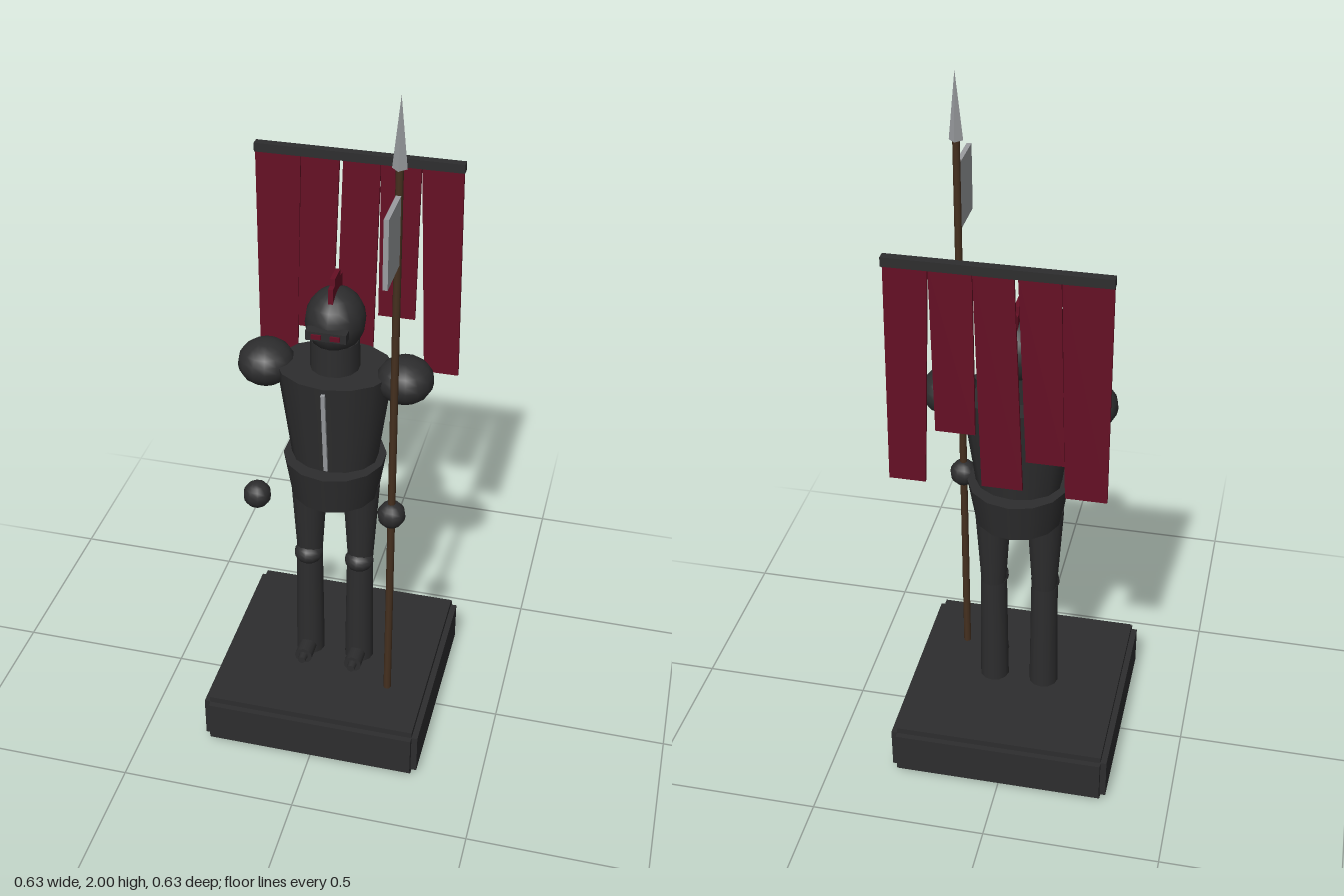
import * as THREE from 'three';

export function createModel() {
  const model = new THREE.Group();
  model.name = 'standingKnight';

  const material = (name, color) => {
    const m = new THREE.MeshStandardMaterial({ color });
    m.name = name;
    return m;
  };
  const iron = material('darkIron', 0x2d2d2e);
  const crimson = material('crimson', 0x650f24);
  const wood = material('darkWood', 0x45301f);
  const steel = material('steel', 0x9a9da0);

  const add = (name, geometry, mat, x = 0, y = 0, z = 0) => {
    const mesh = new THREE.Mesh(geometry, mat);
    mesh.name = name;
    mesh.position.set(x, y, z);
    model.add(mesh);
    return mesh;
  };
  const box = (name, mat, size, pos) => add(name, new THREE.BoxGeometry(...size), mat, ...pos);
  // Tapered upright tube between two heights
  const tube = (name, mat, rTop, rBottom, y0, y1, sides, x = 0, z = 0) =>
    add(name, new THREE.CylinderGeometry(rTop, rBottom, y1 - y0, sides), mat, x, (y0 + y1) / 2, z);
  const ball = (name, [rx, ry, rz], pos, sides = 14) => {
    const mesh = add(name, new THREE.SphereGeometry(1, sides, 10), iron, ...pos);
    mesh.scale.set(rx, ry, rz);
    return mesh;
  };

  // Plinth with stepped edges
  box('plinthCore', iron, [0.6, 0.16, 0.6], [0, 0.08, 0]);
  box('plinthSides', iron, [0.634, 0.124, 0.6], [0, 0.08, 0]);
  box('plinthFrontAndBack', iron, [0.6, 0.124, 0.634], [0, 0.08, 0]);

  // Torso, waist and neck
  tube('breastplate', iron, 0.16, 0.12, 0.87, 1.165, 14).scale.z = 0.82;
  tube('waistGuard', iron, 0.143, 0.123, 0.76, 0.88, 14);
  tube('neckGuard', iron, 0.066, 0.068, 1.15, 1.25, 14);
  const ridge = box('chestRidge', steel, [0.011, 0.262, 0.012], [0, 1.02, 0.117]);
  ridge.rotation.x = Math.atan2(0.033, 0.295);

  // Helmet with visor, eyes and crest
  ball('helmet', [0.081, 0.09, 0.091], [0, 1.305, -0.004], 16);
  box('visor', iron, [0.11, 0.026, 0.03], [0, 1.307, 0.087]);
  for (const side of [-1, 1])
    box('eyeSlit', crimson, [0.026, 0.013, 0.006], [side * 0.025, 1.307, 0.104]);
  box('crestBase', crimson, [0.013, 0.06, 0.1], [0, 1.39, 0]);
  box('crestTop', crimson, [0.013, 0.06, 0.06], [0, 1.41, 0]);

  // Paired limbs
  for (const side of [-1, 1]) {
    const x = side * 0.075;
    ball('shoulderGuard', [0.078, 0.063, 0.081], [side * 0.192, 1.148, 0]);
    ball('gauntlet', [0.039, 0.039, 0.04], [side * 0.19, 0.792, 0.127], 10);
    tube('thigh', iron, 0.054, 0.037, 0.52, 0.79, 12, x);
    ball('knee', [0.042, 0.032, 0.042], [x, 0.525, 0.014], 12);
    tube('shin', iron, 0.039, 0.043, 0.16, 0.52, 12, x, 0.003);
    const boot = add('boot', new THREE.CylinderGeometry(0.026, 0.026, 0.08, 12), iron, x, 0.186, 0.05);
    boot.rotation.x = Math.PI / 2;
    const toe = add('toeCap', new THREE.CylinderGeometry(0.011, 0.014, 0.03, 10), iron, x, 0.188, 0.097);
    toe.rotation.x = Math.PI / 2;
  }

  // Spear with pennant
  tube('spearShaft', wood, 0.01, 0.011, 0.16, 1.83, 8, 0.19, 0.128);
  add('spearHead', new THREE.ConeGeometry(0.019, 0.185, 4).toNonIndexed(), steel, 0.19, 1.9075, 0.128)
    .geometry.computeVertexNormals();
  box('pennant', steel, [0.013, 0.187, 0.145], [0.19, 1.655, 0.195]);

  // Torn banner: [top left, top right, bottom left, bottom right, bottom height]
  box('bannerRail', iron, [0.572, 0.025, 0.024], [0, 1.657, -0.255]);
  const strips = [
    [-0.285, -0.159, -0.285, -0.175, 1.022],
    [-0.157, -0.052, -0.172, -0.072, 1.12],
    [-0.042, 0.06, -0.063, 0.045, 1.03],
    [0.061, 0.17, 0.06, 0.164, 1.185],
    [0.171, 0.283, 0.195, 0.293, 1.022],
  ];
  for (const [tl, tr, bl, br, y] of strips) {
    const shape = new THREE.Shape([
      new THREE.Vector2(bl, y), new THREE.Vector2(br, y),
      new THREE.Vector2(tr, 1.65), new THREE.Vector2(tl, 1.65),
    ]);
    add('bannerStrip', new THREE.ExtrudeGeometry(shape, { depth: 0.009, bevelEnabled: false }),
      crimson, 0, 0, -0.2595);
  }

  return model;
}
